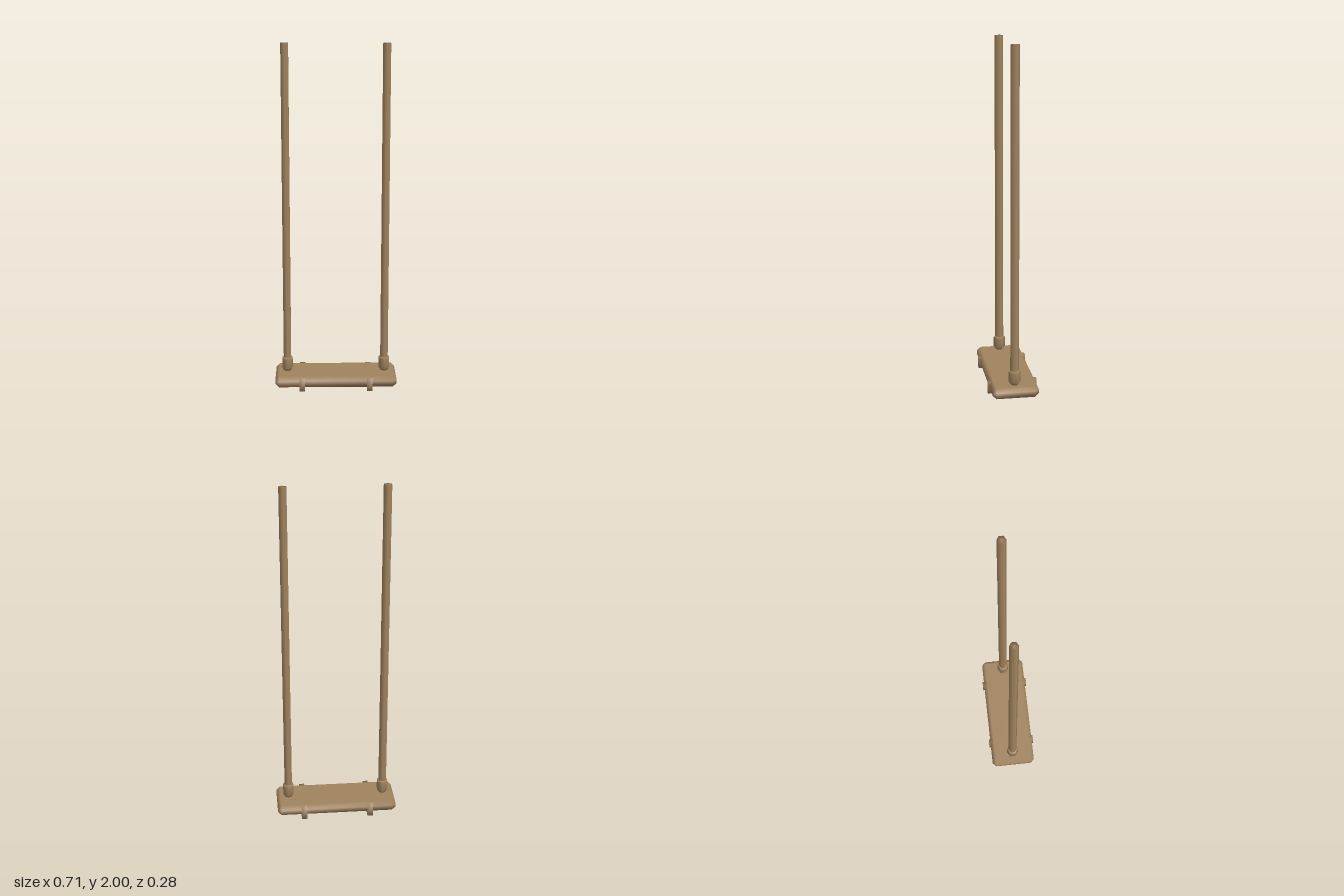
import * as THREE from 'three';
import { mergeVertices } from 'three/addons/utils/BufferGeometryUtils.js';

const wood = new THREE.MeshStandardMaterial({ color: 0xa1845f });
wood.name = 'warm wood';

const HX = 0.354, HZ = 0.133, BEVEL = 0.022;

function addMesh(parent, geometry, name) {
  const mesh = new THREE.Mesh(geometry, wood);
  mesh.name = name;
  parent.add(mesh);
  return mesh;
}

// Plank with every edge and corner bevelled, softly shaded along the rim
function seatGeometry() {
  const ix = HX - BEVEL, iz = HZ - BEVEL;
  const corners = [[1, 1], [1, -1], [-1, -1], [-1, 1]];
  const levels = [[0.015, 0], [0.037, BEVEL], [0.058, BEVEL], [0.08, 0]];
  const pos = [], idx = [];
  for (const [y, out] of levels) {
    corners.forEach(([sx, sz], i) => {
      const alongZ = [sx * ix, y, sz * (iz + out)];
      const alongX = [sx * (ix + out), y, sz * iz];
      pos.push(...(i % 2 ? [...alongX, ...alongZ] : [...alongZ, ...alongX]));
    });
  }
  for (let r = 0; r < 3; r++) {
    for (let i = 0; i < 8; i++) {
      const a = r * 8 + i, b = r * 8 + (i + 1) % 8;
      idx.push(a, b, b + 8, a, b + 8, a + 8);
    }
  }
  for (let i = 1; i < 7; i++) {
    idx.push(24, 24 + i, 25 + i); // top
    idx.push(0, i + 1, i); // underside
  }
  const g = new THREE.BufferGeometry();
  g.setAttribute('position', new THREE.Float32BufferAttribute(pos, 3));
  g.setIndex(idx);
  g.computeVertexNormals();
  // keep the broad faces flat
  for (let i = 0; i < 8; i++) {
    g.attributes.normal.setXYZ(i, 0, -1, 0);
    g.attributes.normal.setXYZ(24 + i, 0, 1, 0);
  }
  return g;
}

// Crossbar with soft shading around its edges
function crossbarGeometry() {
  let g = new THREE.BoxGeometry(0.032, 0.073, 0.284);
  g.deleteAttribute('uv');
  g.deleteAttribute('normal');
  g = mergeVertices(g);
  g.computeVertexNormals();
  const p = g.attributes.position, n = new THREE.Vector3();
  for (let i = 0; i < p.count; i++) {
    n.set(0.5 * Math.sign(p.getX(i)), Math.sign(p.getY(i)), Math.sign(p.getZ(i))).normalize();
    g.attributes.normal.setXYZ(i, n.x, n.y, n.z);
  }
  return g;
}

// Six-sided turned shape from [radius, height] pairs
function hexLathe(profile) {
  return new THREE.LatheGeometry(profile.map(([r, y]) => new THREE.Vector2(r, y)), 6);
}

export function createModel() {
  const swing = new THREE.Group();
  swing.name = 'swing';
  addMesh(swing, seatGeometry(), 'seat');

  const bar = crossbarGeometry();
  const rope = hexLathe([[0.025, 0.1], [0.025, 2], [0, 2]]);
  const knot = hexLathe([[0, 0.075], [0.02, 0.078], [0.035, 0.1], [0.035, 0.155], [0.029, 0.164], [0, 0.164]]);

  for (const [side, s] of [['left', 1], ['right', -1]]) {
    addMesh(swing, bar, side + 'Crossbar').position.set(s * 0.197, 0.0365, 0);
    addMesh(swing, rope, side + 'Rope').position.x = s * 0.285;
    addMesh(swing, knot, side + 'Knot').position.x = s * 0.285;
  }
  return swing;
}
